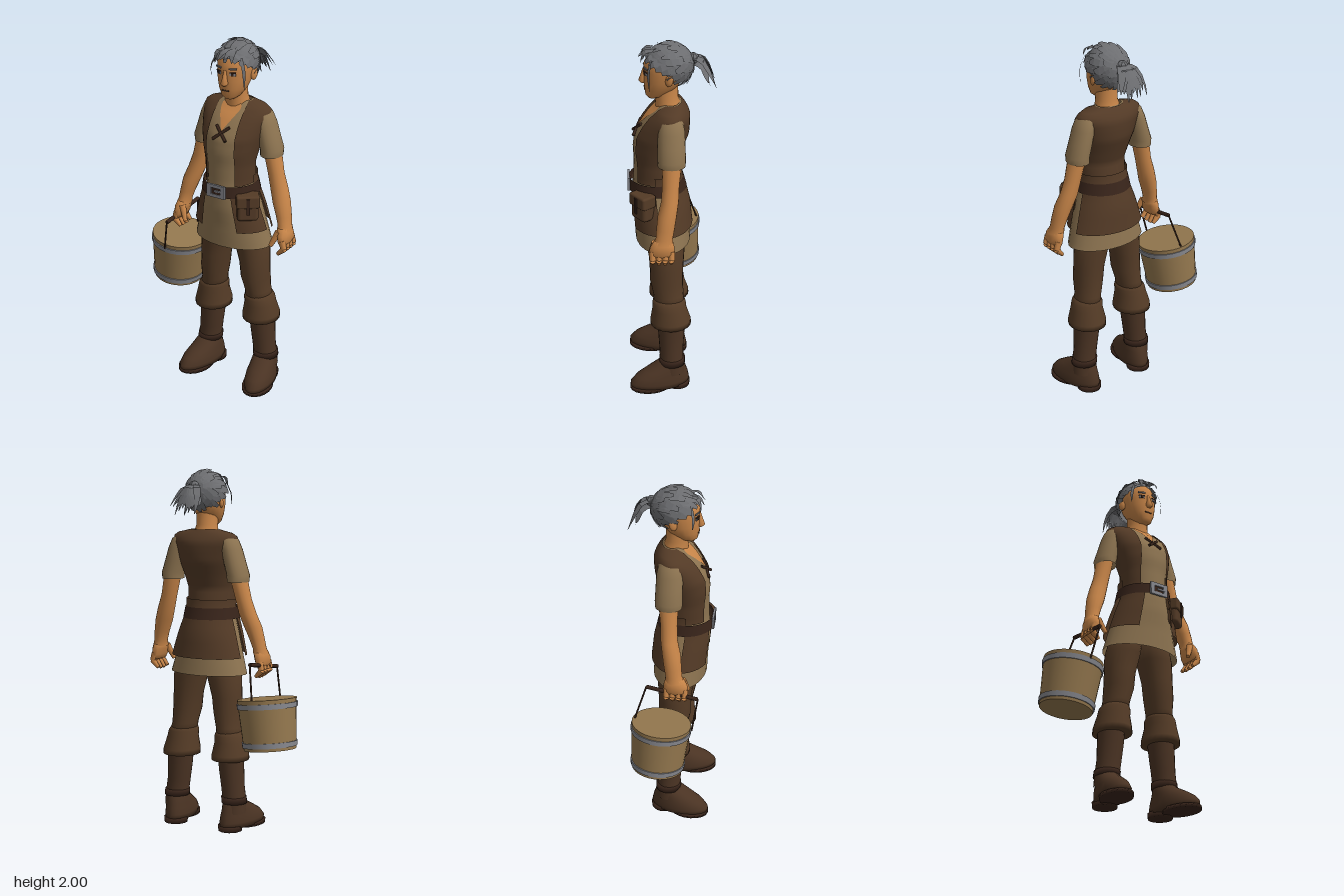
import * as THREE from 'three';
import { RoundedBoxGeometry } from 'three/addons/geometries/RoundedBoxGeometry.js';

const CX = 0.095; // body centre line
const V = (x, y, z) => new THREE.Vector3(x, y, z);
const material = (name, color, extra = {}) => {
  const m = new THREE.MeshStandardMaterial({ color, ...extra });
  m.name = name;
  return m;
};

// Skin of horizontal rings, lowest first: [y, cx, cz, rx, rz, startAngle?, endAngle?]; angle 0 faces +z
function loft(rows, { seg = 20, cap = false } = {}) {
  const closed = rows[0][5] === undefined;
  const n = closed ? seg : seg + 1;
  const pos = [], idx = [];
  for (const [y, cx, cz, rx, rz, a0 = 0, a1 = Math.PI * 2] of rows) {
    for (let j = 0; j < n; j++) {
      const a = a0 + (a1 - a0) * j / seg;
      pos.push(cx + rx * Math.sin(a), y, cz + rz * Math.cos(a));
    }
  }
  for (let i = 0; i < rows.length - 1; i++) {
    for (let j = 0; j < seg; j++) {
      const k = (j + 1) % n, a = i * n + j, b = i * n + k;
      idx.push(a, b, b + n, a, b + n, a + n);
    }
  }
  if (cap && closed) {
    for (const [r, up] of [[0, false], [rows.length - 1, true]]) {
      const c = pos.length / 3;
      pos.push(rows[r][1], rows[r][0], rows[r][2]);
      for (let j = 0; j < n; j++) {
        const a = r * n + j, b = r * n + (j + 1) % n;
        idx.push(c, up ? a : b, up ? b : a);
      }
    }
  }
  const g = new THREE.BufferGeometry();
  g.setAttribute('position', new THREE.Float32BufferAttribute(pos, 3));
  g.setIndex(idx);
  g.computeVertexNormals();
  return g;
}

// Trunk profile: [y, cz, rx, rz]
const TRUNK = [
  [0.875, 0.04, 0.23, 0.15], [1.0, 0.05, 0.195, 0.145], [1.1, 0.06, 0.165, 0.145], [1.18, 0.07, 0.137, 0.135],
  [1.25, 0.075, 0.125, 0.122], [1.35, 0.08, 0.13, 0.115], [1.42, 0.07, 0.145, 0.13], [1.5, 0.05, 0.165, 0.14],
  [1.56, 0.03, 0.178, 0.125], [1.61, 0.01, 0.19, 0.105], [1.645, 0, 0.183, 0.075], [1.665, 0, 0.14, 0.06], [1.675, 0, 0.075, 0.05],
];
function trunkAt(y) {
  let i = 0;
  while (i < TRUNK.length - 2 && TRUNK[i + 1][0] < y) i++;
  const p = TRUNK[i], q = TRUNK[i + 1], t = (y - p[0]) / (q[0] - p[0]);
  return p.map((v, k) => v + (q[k] - v) * t);
}
// Layer of cloth following the trunk between two heights, optionally over an angle range
function wrap(y0, y1, grow, range, n = 12, seg = 24) {
  const rows = [];
  for (let i = 0; i <= n; i++) {
    const y = y0 + (y1 - y0) * i / n, [, cz, rx, rz] = trunkAt(y);
    rows.push([y, CX, cz, rx + grow, rz + grow, ...(range ? range(y, rx) : [])]);
  }
  return loft(rows, { seg });
}

// Tapering flat lock of hair along a path, lying across the direction from ref
function lock(points, width, ref) {
  const curve = new THREE.CatmullRomCurve3(points), n = 5, pos = [], idx = [];
  for (let i = 0; i <= n; i++) {
    const t = i / n, p = curve.getPoint(t);
    const side = curve.getTangent(t).cross(p.clone().sub(ref)).normalize();
    side.multiplyScalar(width * (0.08 + 0.92 * Math.sin(Math.PI * (0.15 + 0.85 * t))));
    const a = p.clone().add(side), b = p.clone().sub(side);
    pos.push(a.x, a.y, a.z, b.x, b.y, b.z);
    if (i < n) idx.push(2 * i, 2 * i + 1, 2 * i + 3, 2 * i, 2 * i + 3, 2 * i + 2);
  }
  const g = new THREE.BufferGeometry();
  g.setAttribute('position', new THREE.Float32BufferAttribute(pos, 3));
  g.setIndex(idx);
  g.computeVertexNormals();
  return g;
}

export function createModel() {
  const root = new THREE.Group();
  root.name = 'villagerWithBucket';
  const two = { side: THREE.DoubleSide };
  const skin = material('skin', 0xc68448), linen = material('linen', 0x8c7350, two), leather = material('vestLeather', 0x533a26, two);
  const trouser = material('trousers', 0x543b26), boot = material('bootLeather', 0x4a3323), dark = material('darkLeather', 0x38241a, two);
  const hair = material('greyHair', 0x6c6d70, { side: THREE.DoubleSide, flatShading: true });
  const metal = material('metal', 0x85868c), wood = material('wood', 0x93774e);
  const add = (name, geo, mat, parent = root) => {
    const m = new THREE.Mesh(geo, mat);
    m.name = name;
    parent.add(m);
    return m;
  };
  const rod = (name, p, q, r, mat, r2 = r) => {
    const d = q.clone().sub(p), m = add(name, new THREE.CylinderGeometry(r2, r, d.length(), 8), mat);
    m.position.copy(p).addScaledVector(d, 0.5);
    m.quaternion.setFromUnitVectors(V(0, 1, 0), d.normalize());
    return m;
  };
  let seed = 7;
  const rnd = () => (seed = (seed * 16807) % 2147483647) / 2147483647;

  // Tunic, vest and skirt panels
  add('tunic', wrap(0.875, 1.675, 0, null, 32), linen);
  const gap = (y, rx) => Math.asin(Math.min(0.9, 0.08 / rx));
  add('vest', wrap(1.24, 1.675, 0.009, (y, rx) => [gap(y, rx), Math.PI * 2 - gap(y, rx)], 24, 32), leather);
  add('vestHem', wrap(1.2, 1.29, 0.02, () => [1.5, Math.PI * 2 - 1.5], 3), leather);
  add('neckOpening', wrap(1.54, 1.675, 0.004, y => { const a = 0.42 * (y - 1.535) / 0.14; return [-a, a]; }, 8, 8), skin);
  add('backPanel', wrap(0.97, 1.22, 0.022, () => [1.8, Math.PI * 2 - 1.8], 6), leather);
  for (const s of [1, -1]) add('sidePanel', wrap(0.98, 1.22, 0.02, () => (s > 0 ? [0.52, 1.5] : [-1.5, -0.52]), 6), leather);
  for (const s of [1, -1]) rod('lace', V(CX - s * 0.04, 1.495, 0.197), V(CX + s * 0.04, 1.56, 0.155), 0.008, dark);

  // Belt, buckle and pouch
  add('belt', wrap(1.182, 1.245, 0.024, null, 2, 28), dark);
  const frame = new THREE.Shape([[-0.055, -0.036], [0.055, -0.036], [0.055, 0.036], [-0.055, 0.036]].map(p => new THREE.Vector2(...p)));
  frame.holes.push(new THREE.Path([[-0.03, -0.018], [-0.03, 0.018], [0.03, 0.018], [0.03, -0.018]].map(p => new THREE.Vector2(...p))));
  add('buckle', new THREE.ExtrudeGeometry(frame, { depth: 0.012, bevelEnabled: false }), metal).position.set(CX, 1.214, 0.218);
  add('bucklePin', new THREE.BoxGeometry(0.05, 0.01, 0.008), metal).position.set(CX + 0.015, 1.214, 0.227);
  const pouch = new THREE.Group();
  pouch.name = 'pouch';
  pouch.position.set(0.245, 1.13, 0.15);
  pouch.rotation.y = 0.65;
  root.add(pouch);
  add('pouchBody', new RoundedBoxGeometry(0.115, 0.14, 0.08, 3, 0.02), leather, pouch);
  add('pouchFlap', new RoundedBoxGeometry(0.125, 0.07, 0.09, 3, 0.012), trouser, pouch).position.set(0, 0.042, 0.002);
  add('pouchStrap', new THREE.BoxGeometry(0.018, 0.09, 0.006), dark, pouch).position.set(0, 0.02, 0.05);

  // Limbs, once per side
  for (const s of [1, -1]) {
    const rows = list => list.map(([y, off, ...r]) => [y, CX + s * off, ...r]);
    add('sleeve', loft(rows([[1.395, 0.207, 0, 0.058, 0.072], [1.43, 0.208, 0, 0.06, 0.074], [1.5, 0.187, 0, 0.058, 0.072],
      [1.57, 0.168, 0, 0.055, 0.07], [1.62, 0.15, 0, 0.052, 0.06], [1.65, 0.14, 0, 0.03, 0.035]])), linen);
    add('arm', loft(rows([[1.0, 0.325, 0.05, 0.04, 0.055], [1.03, 0.32, 0.042, 0.036, 0.045], [1.08, 0.308, 0.035, 0.041, 0.048],
      [1.15, 0.287, 0.025, 0.05, 0.05], [1.22, 0.262, 0.01, 0.05, 0.046], [1.3, 0.238, 0.005, 0.045, 0.045],
      [1.4, 0.215, 0, 0.047, 0.052], [1.5, 0.19, 0, 0.042, 0.05]]), { seg: 16 }), skin);
    add('palm', loft(rows([[0.925, 0.335, 0.055, 0.02, 0.055], [0.95, 0.335, 0.055, 0.032, 0.068], [0.985, 0.33, 0.053, 0.038, 0.064],
      [1.02, 0.322, 0.046, 0.036, 0.048]]), { seg: 14, cap: true }), skin);
    for (let i = 0; i < 4; i++) {
      const z = 0.005 + i * 0.033, knuckle = V(CX + s * 0.352, 0.915, z);
      rod('finger', V(CX + s * 0.338, 0.96, z), knuckle, 0.019, skin, 0.017);
      rod('fingerTip', knuckle, V(CX + s * 0.315, 0.868 + Math.abs(i - 1.5) * 0.006, z), 0.018, skin, 0.01);
    }
    rod('thumb', V(CX + s * 0.31, 1.0, 0.09), V(CX + s * 0.275, 0.92, 0.115), 0.02, skin, 0.012);

    add('trouserLeg', loft(rows([[0.5, 0.155, 0.01, 0.078, 0.085], [0.58, 0.142, 0.015, 0.07, 0.083], [0.66, 0.132, 0.025, 0.08, 0.09],
      [0.75, 0.125, 0.025, 0.083, 0.092], [0.86, 0.108, 0.025, 0.097, 0.1], [0.96, 0.085, 0.03, 0.088, 0.11]]), { cap: true }), trouser);
    add('trouserCuff', loft(rows([[0.4, 0.158, 0.003, 0.104, 0.113], [0.43, 0.158, 0.004, 0.103, 0.112], [0.5, 0.155, 0.01, 0.087, 0.094],
      [0.535, 0.15, 0.012, 0.084, 0.092], [0.56, 0.146, 0.014, 0.07, 0.08]]), { cap: true }), trouser);
    add('bootShaft', loft(rows([[0.1, 0.19, 0, 0.068, 0.075], [0.16, 0.188, -0.002, 0.066, 0.066], [0.25, 0.176, 0, 0.066, 0.067],
      [0.34, 0.168, 0, 0.07, 0.073], [0.43, 0.162, 0, 0.073, 0.077]])), boot);
    add('ankleStrap', loft(rows([[0.155, 0.188, -0.004, 0.072, 0.073], [0.19, 0.184, -0.004, 0.071, 0.072]]), { cap: true }), dark);
    const foot = new THREE.Group();
    foot.name = 'foot';
    foot.position.x = CX + s * 0.185;
    foot.rotation.y = s * 0.2;
    root.add(foot);
    add('bootFoot', loft([[0.02, 0, 0.067, 0.08, 0.168], [0.05, 0, 0.067, 0.082, 0.168], [0.085, 0, 0.055, 0.078, 0.148],
      [0.115, 0, 0.035, 0.07, 0.118], [0.15, 0, 0.008, 0.064, 0.08], [0.18, 0, 0, 0.05, 0.05]], { seg: 24, cap: true }), boot, foot);
    add('sole', loft([[0.008, 0, 0.12, 0.084, 0.118], [0.028, 0, 0.12, 0.084, 0.118]], { cap: true }), dark, foot);
    add('heel', loft([[0, 0, -0.035, 0.066, 0.068], [0.03, 0, -0.035, 0.068, 0.07]], { cap: true }), dark, foot);
  }

  // Neck, head and face
  add('neck', loft([[1.6, CX, 0.0, 0.085, 0.08], [1.66, CX, 0.012, 0.068, 0.066], [1.7, CX, 0.02, 0.058, 0.062], [1.78, CX, 0.025, 0.058, 0.065]]), skin);
  add('head', loft([[1.698, CX, 0.09, 0.026, 0.025], [1.715, CX, 0.075, 0.05, 0.054], [1.755, CX, 0.052, 0.074, 0.084], [1.8, CX, 0.036, 0.088, 0.103],
    [1.85, CX, 0.026, 0.094, 0.113], [1.89, CX, 0.02, 0.095, 0.117], [1.93, CX, 0.015, 0.085, 0.1], [1.97, CX, 0.01, 0.05, 0.065]], { seg: 24, cap: true }), skin);
  add('nose', loft([[1.78, CX, 0.142, 0.012, 0.012], [1.792, CX, 0.143, 0.02, 0.023], [1.82, CX, 0.138, 0.013, 0.018], [1.86, CX, 0.133, 0.009, 0.01]], { seg: 10, cap: true }), skin);
  add('mouth', new THREE.BoxGeometry(0.042, 0.007, 0.006), boot).position.set(CX, 1.75, 0.1345);
  for (const s of [1, -1]) {
    const ear = add('ear', new THREE.SphereGeometry(1, 10, 8), skin);
    ear.scale.set(0.012, 0.034, 0.022);
    ear.position.set(CX + s * 0.096, 1.825, 0.008);
    ear.rotation.set(-0.2, s * -0.4, 0);
    for (const [name, w, h, x, y, z, mat] of [['eye', 0.032, 0.014, 0.042, 1.843, 0.129, metal], ['pupil', 0.012, 0.014, 0.041, 1.843, 0.132, dark],
      ['upperLid', 0.036, 0.005, 0.042, 1.852, 0.13, dark], ['eyebrow', 0.042, 0.008, 0.043, 1.872, 0.13, hair]]) {
      const m = add(name, new THREE.BoxGeometry(w, h, 0.006), mat);
      m.position.set(CX + s * x, y, z);
      m.rotation.y = s * 0.42;
    }
  }

  // Hair: cap, swept-back locks, fringe and ponytail
  const skull = V(CX, 1.87, 0.012), radii = V(0.106, 0.122, 0.13), tilt = new THREE.Euler(-0.6, 0, 0);
  const cap = new THREE.SphereGeometry(1, 20, 10, 0, Math.PI * 2, 0, 1.72).applyQuaternion(new THREE.Quaternion().setFromEuler(tilt));
  add('hairCap', cap.scale(radii.x, radii.y, radii.z).translate(skull.x, skull.y, skull.z), hair);
  const knotDir = V(0, 0.3, -1).normalize();
  for (const [theta, count, lift] of [[1.82, 20, 1.03], [1.3, 16, 1.045], [0.8, 12, 1.06]]) {
    for (let i = 0; i < count; i++) {
      const phi = (i + rnd() * 0.5) / count * Math.PI * 2, th = theta + (rnd() - 0.5) * 0.2;
      const from = V(Math.sin(th) * Math.sin(phi), Math.cos(th), Math.sin(th) * Math.cos(phi)).applyEuler(tilt);
      const pts = [0, 0.3, 0.65, 1].map(t => from.clone().lerp(knotDir, t).normalize()
        .multiplyScalar(lift + (t === 0 ? 0.06 * rnd() : 0)).multiply(radii).add(skull));
      add('hairLock', lock(pts, 0.016 + rnd() * 0.008, skull), hair);
    }
  }
  for (const [x, y, z, dx] of [[-0.06, 1.9, 0.15, -0.03], [-0.03, 1.915, 0.165, -0.04], [0.01, 1.925, 0.165, -0.03], [0.05, 1.91, 0.155, 0.02]])
    add('fringeLock', lock([V(CX + x - dx, 1.965, 0.09), V(CX + x - dx * 0.4, 1.955, 0.135), V(CX + x, y, z)], 0.016, skull), hair);
  for (const s of [1, -1])
    add('templeLock', lock([V(CX + s * 0.075, 1.93, 0.1), V(CX + s * 0.1, 1.86, 0.115), V(CX + s * 0.1, s > 0 ? 1.765 : 1.8, 0.11)], 0.009, skull), hair);
  const knot = add('hairKnot', new THREE.SphereGeometry(0.03, 8, 6), hair);
  knot.position.set(CX, 1.91, -0.117);
  for (let i = 0; i < 18; i++) {
    const u = (i % 9) / 4 - 1, low = i < 9 ? 0 : 0.03, r = rnd();
    add('ponytailLock', lock([V(CX + u * 0.015, 1.915 - low, -0.105), V(CX + u * 0.04, 1.915 - low - r * 0.01, -0.16),
      V(CX + u * 0.068, 1.85 - low * 0.8, -0.2 + low * 0.5), V(CX + 0.01 + u * 0.08, 1.755 + r * 0.06, -0.238 + low + r * 0.02)], 0.02, V(CX, 1.7, -0.1)), hair);
  }

  // Bucket with hoops, wires and grip
  const bottom = V(-0.332, 0.493, -0.035), top = V(-0.3, 0.768, -0.015);
  const along = t => bottom.clone().lerp(top, t), radius = t => 0.143 + 0.02 * t;
  for (const [name, a, b, grow, mat] of [['bucketBody', 0, 1, 0, wood], ['lowerHoop', 0.06, 0.16, 0.006, metal], ['upperHoop', 0.82, 0.92, 0.006, metal]]) {
    const m = add(name, new THREE.CylinderGeometry(radius(b) + grow, radius(a) + grow, bottom.distanceTo(top) * (b - a), 28), mat);
    m.position.copy(along((a + b) / 2));
    m.quaternion.setFromUnitVectors(V(0, 1, 0), top.clone().sub(bottom).normalize());
  }
  const front = V(-0.262, 0.915, 0.178), back = V(-0.242, 0.96, -0.105);
  rod('grip', front, back, 0.011, dark);
  rod('frontWire', front, V(-0.3, 0.73, 0.15), 0.005, dark);
  rod('backWire', back, V(-0.295, 0.74, -0.175), 0.005, dark);
  return root;
}
